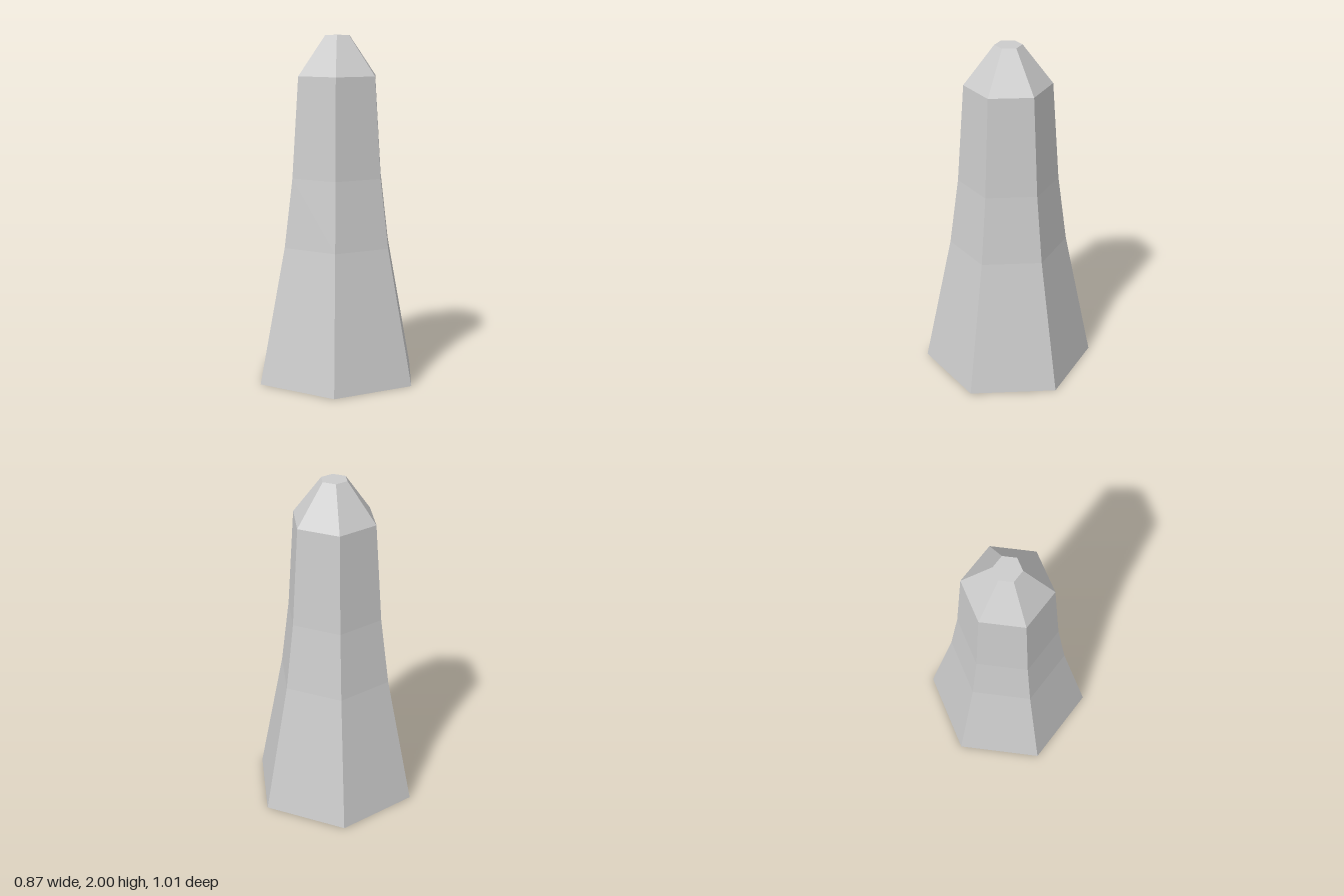
import * as THREE from 'three';

export function createModel() {
  const group = new THREE.Group();
  group.name = 'taperedPost';

  // Hexagonal body: [corner radius, height] from the base to the blunt tip, closed at both ends
  const profile = [
    [0, 0], [0.503, 0], [0.343, 0.79], [0.291, 1.19], [0.251, 1.77], [0.078, 2], [0, 2],
  ].map(([r, y]) => new THREE.Vector2(r, y));

  // Six sides, with corners pointing to the front and back
  const body = new THREE.Mesh(
    new THREE.LatheGeometry(profile, 6),
    new THREE.MeshStandardMaterial({ color: 0xcccccc, flatShading: true }),
  );
  body.name = 'hexagonalBody';
  group.add(body);

  return group;
}
